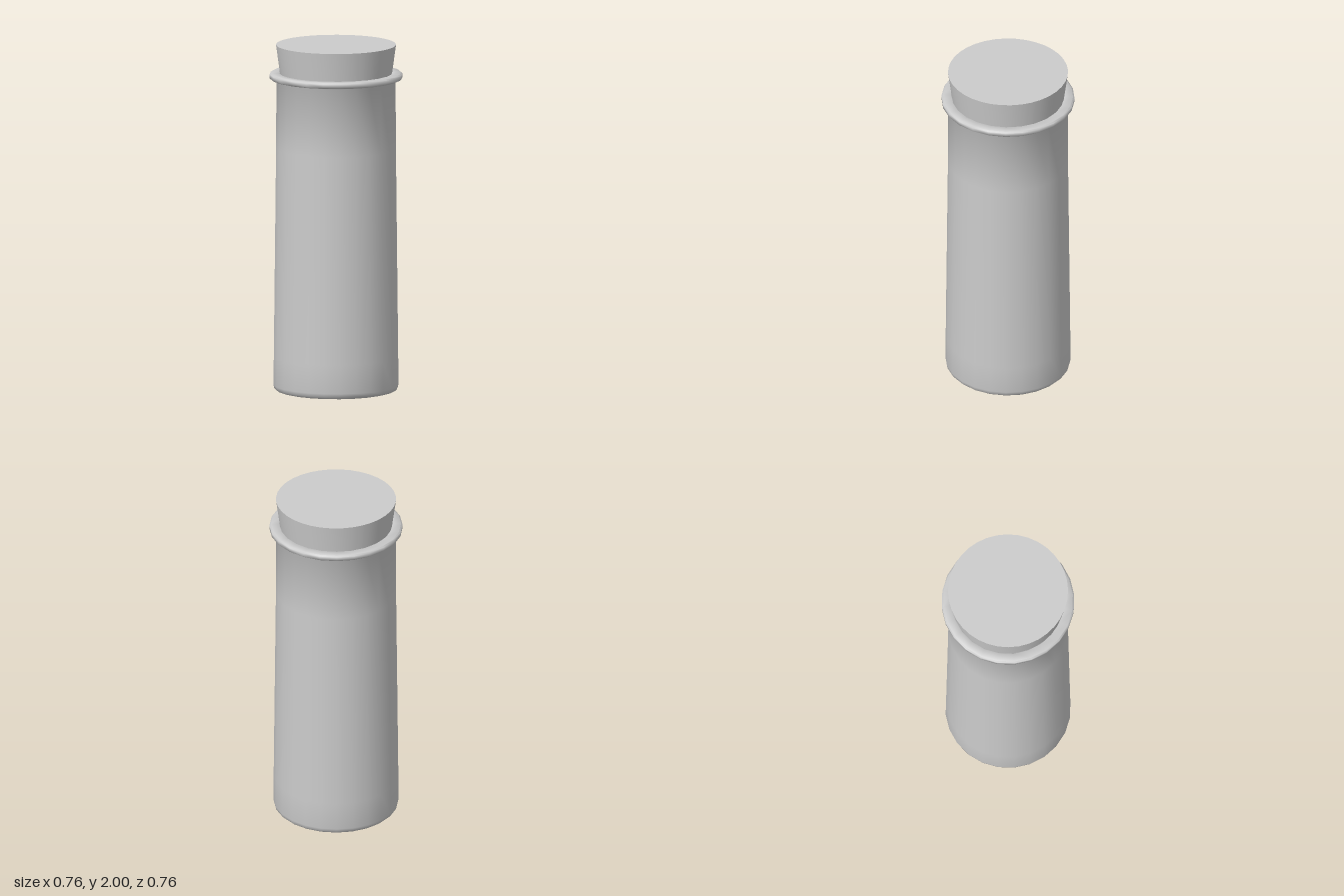
import * as THREE from 'three';
import { toCreasedNormals } from 'three/addons/utils/BufferGeometryUtils.js';

const material = new THREE.MeshStandardMaterial({ color: 0xcccccc });

// Turn a profile of [radius, height] points, listed from bottom to top
function turned(name, profile, sides, crease) {
  const points = profile.map(([r, y]) => new THREE.Vector2(r, y));
  const geometry = toCreasedNormals(new THREE.LatheGeometry(points, sides), crease);
  const mesh = new THREE.Mesh(geometry, material);
  mesh.name = name;
  return mesh;
}

export function createModel() {
  const group = new THREE.Group();
  group.name = 'corkedJar';

  // Gently tapered jar with a rounded foot and a rolled collar at the mouth
  group.add(turned('jar', [
    [0, 0], [0.325, 0], [0.343, 0.005], [0.354, 0.016], [0.358, 0.035],
    [0.356, 0.2], [0.343, 1.4], [0.341, 1.795],
    [0.346, 1.802], [0.372, 1.802], [0.38, 1.808],
    [0.38, 1.83], [0.372, 1.837], [0.325, 1.837], [0.315, 1.83], [0.31, 1.7],
  ], 24, 1.0));

  // Stopper widening towards its flat top
  group.add(turned('stopper', [
    [0, 1.7], [0.302, 1.7], [0.343, 2], [0, 2],
  ], 36, 0.8));

  return group;
}
